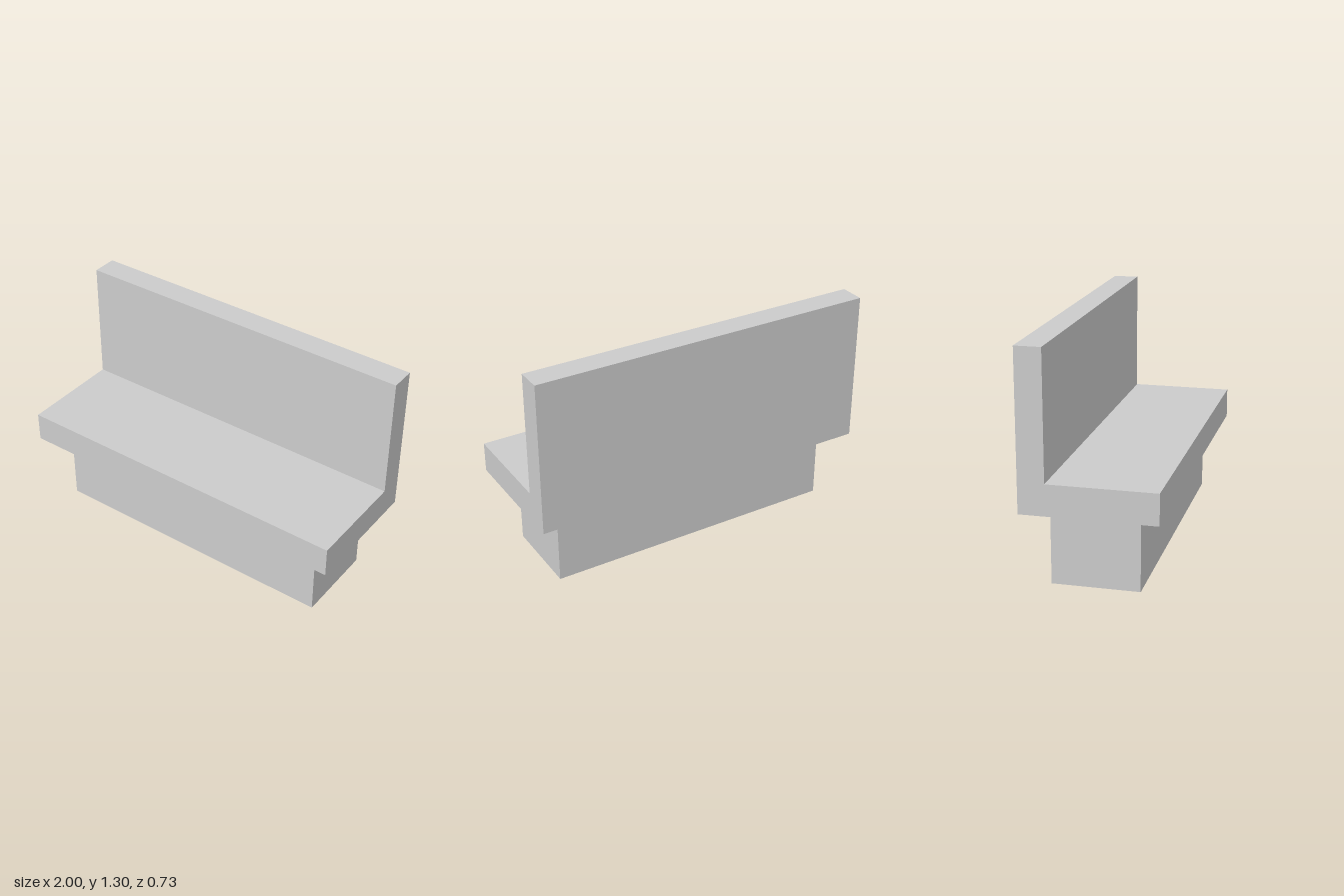
import * as THREE from 'three';

export function createModel() {
  const group = new THREE.Group();
  const material = new THREE.MeshStandardMaterial({ color: 0xcccccc, flatShading: true });

  const length = 2, halfDepth = 0.367, backrestFront = -0.223;
  const seatBottom = 0.425, seatTop = 0.597, backrestTop = 1.298;

  // Seat and backrest: one L-shaped profile (z, y) extruded along x
  const profile = new THREE.Shape([
    [-halfDepth, seatBottom],
    [halfDepth, seatBottom],
    [halfDepth, seatTop],
    [backrestFront, seatTop],
    [backrestFront, backrestTop],
    [-halfDepth, backrestTop],
  ].map(([z, y]) => new THREE.Vector2(z, y)));
  const seatGeometry = new THREE.ExtrudeGeometry(profile, { depth: length, bevelEnabled: false });
  seatGeometry.translate(0, 0, -length / 2).rotateY(-Math.PI / 2);
  const seat = new THREE.Mesh(seatGeometry, material);
  seat.name = 'seatAndBackrest';
  group.add(seat);

  // Plinth base, set in on all sides
  const base = new THREE.Mesh(new THREE.BoxGeometry(1.72, seatBottom, 0.478), material);
  base.name = 'base';
  base.position.y = seatBottom / 2;
  group.add(base);

  return group;
}
